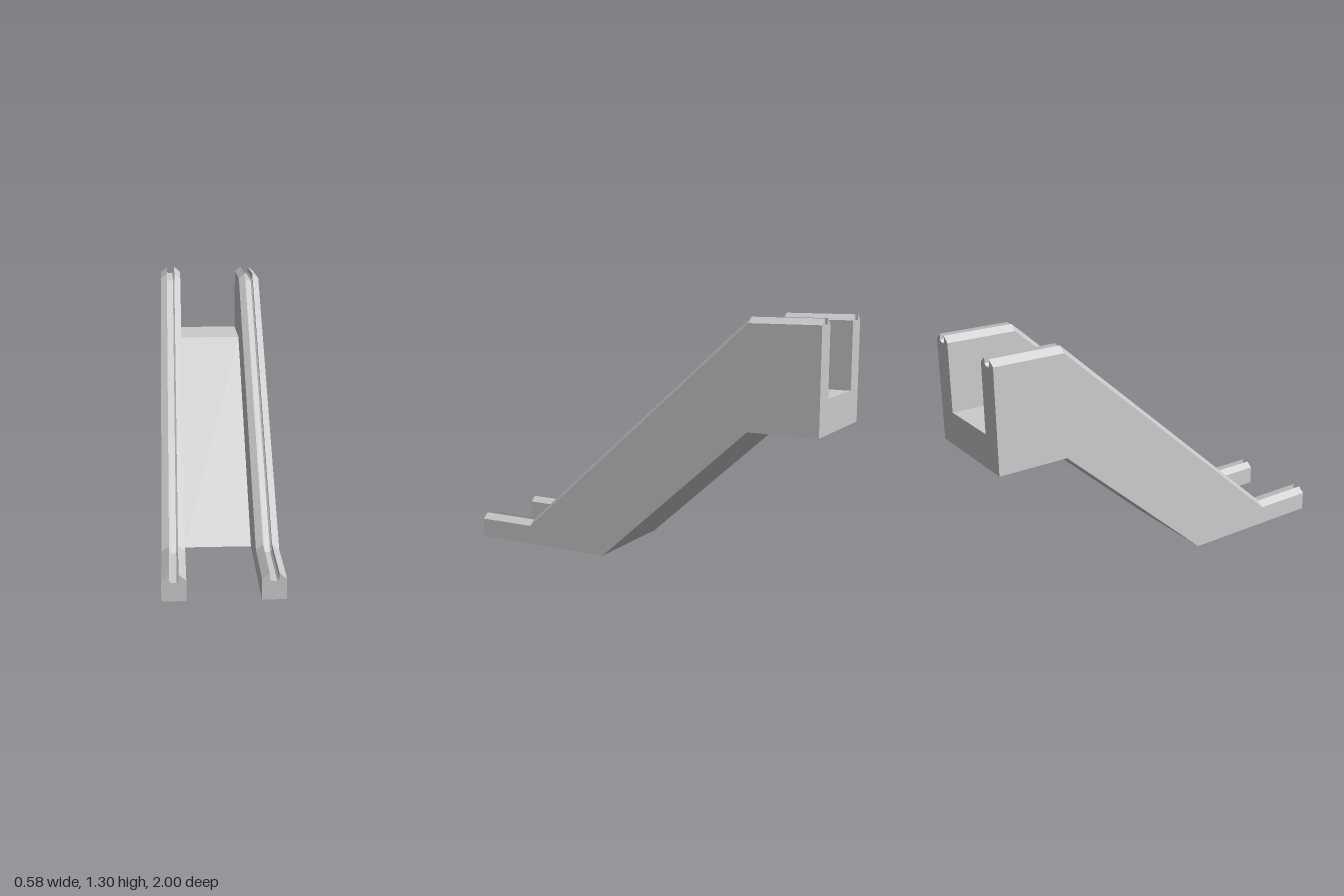
import * as THREE from 'three';

const INNER = 0.173, OUTER = 0.288;

// Bend stations along z, with the wall's underside and crest height at each
const SLOPE = (1.296 - 0.131) / (0.67 + 0.635);
const STATIONS = [
  { z: -1, bottom: 0.742, crest: 1.296 },
  { z: -0.635, bottom: 0.742, crest: 1.296 },
  { z: 0.195, bottom: 0, crest: 0.131 + SLOPE * (0.67 - 0.195) },
  { z: 0.67, bottom: 0, crest: 0.131 },
  { z: 1, bottom: 0, crest: 0.131 },
];

// Cross-section of a wall: x, and drop below the crest
const CREST = [
  [OUTER, 0.029], [0.252, 0], [0.252, 0.03], [0.243, 0.04],
  [0.217, 0.04], [0.208, 0.03], [0.208, 0], [INNER, 0.029],
];

const material = new THREE.MeshStandardMaterial({ color: 0xcccccc, flatShading: true });

// Side wall with a grooved handrail crest, swept through the stations
function makeWall(side, name) {
  const section = [[INNER, null], [OUTER, null], ...CREST]
    .map(([x, drop]) => new THREE.Vector2(side * x, drop === null ? 0 : 1 - drop));
  const count = STATIONS.length - 1;
  const geometry = new THREE.ExtrudeGeometry(new THREE.Shape(section), {
    depth: count, steps: count, bevelEnabled: false,
  });
  const p = geometry.attributes.position;
  for (let i = 0; i < p.count; i++) {
    const s = STATIONS[Math.round(p.getZ(i))];
    const y = p.getY(i);
    p.setY(i, y < 0.5 ? s.bottom : s.crest + y - 1);
    p.setZ(i, s.z);
  }
  geometry.computeVertexNormals();
  const mesh = new THREE.Mesh(geometry, material);
  mesh.name = name;
  return mesh;
}

// Sloping ramp with a level landing, between the walls
function makeRamp() {
  const profile = [[0.385, 0], [-0.64, 0.915], [-1, 0.915], [-1, 0.742], [-0.635, 0.742], [0.195, 0]];
  const shape = new THREE.Shape(profile.map(([z, y]) => new THREE.Vector2(z, y)));
  const geometry = new THREE.ExtrudeGeometry(shape, { depth: INNER * 2, bevelEnabled: false });
  geometry.rotateY(-Math.PI / 2).translate(INNER, 0, 0);
  const mesh = new THREE.Mesh(geometry, material);
  mesh.name = 'ramp';
  return mesh;
}

export function createModel() {
  const group = new THREE.Group();
  group.name = 'escalator';
  group.add(makeWall(1, 'leftWall'), makeWall(-1, 'rightWall'), makeRamp());
  return group;
}
